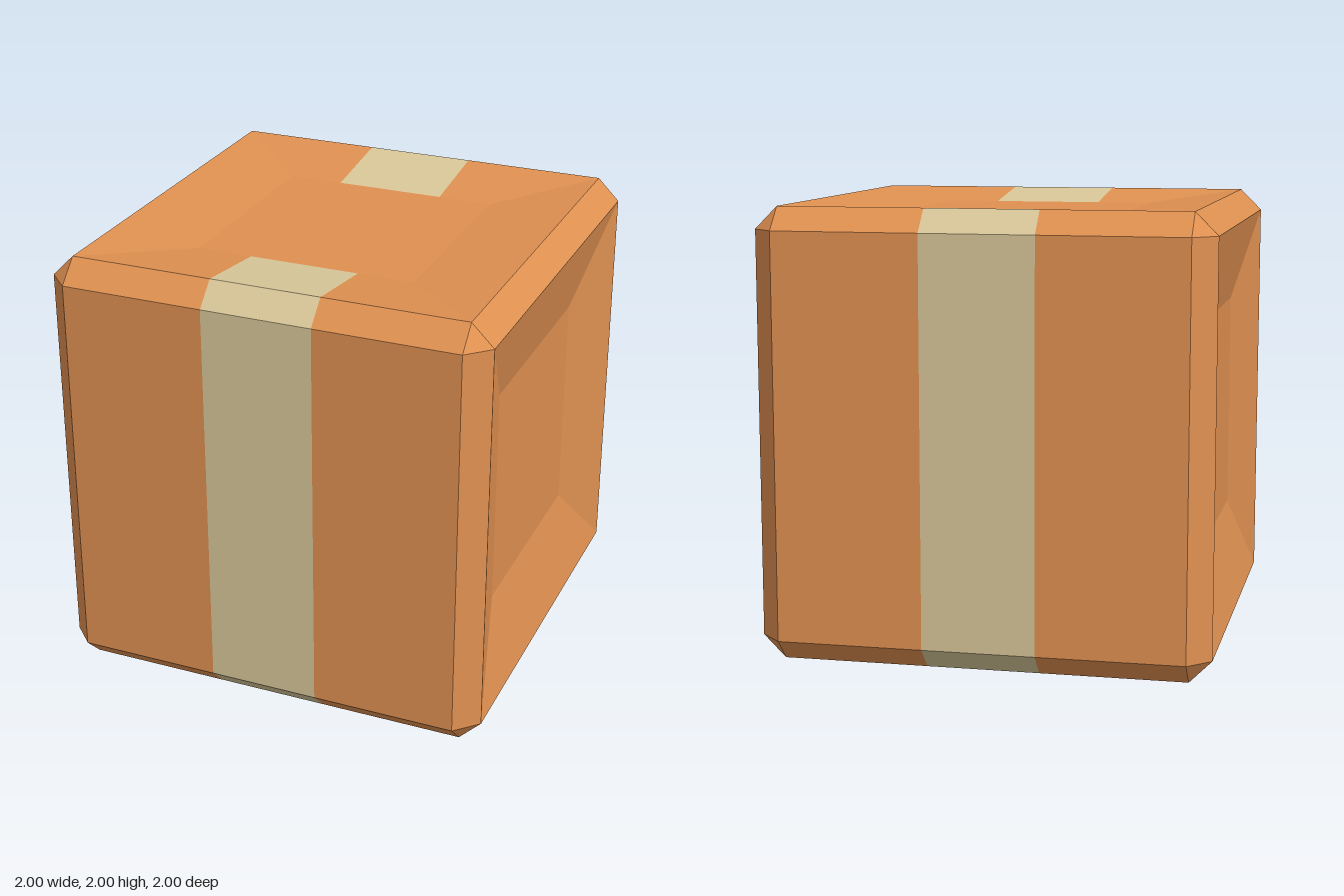
import * as THREE from 'three';

// Half sizes: outer face, chamfer start, recess floor edge, tape half width
const O = 1, C = 0.9, R = 0.5, T = 0.25;
const TOP = 0.95;  // height of the shallow recess floor in top and bottom
const SIDE = 0.9;  // x of the deeper recess floor in the two sides

// Strips running front face -> chamfer -> recess slope, between x0 and x1
const wrap = (x0, x1, xEnd) => [
  [[x0, 0, O], [x1, 0, O], [x1, C, O], [x0, C, O]],
  [[x0, C, O], [x1, C, O], [x1, O, C], [x0, O, C]],
  [[x0, O, C], [x1, O, C], [xEnd, TOP, R], [x0, TOP, R]],
];

// One eighth of the box surface; mirroring completes it
const parts = {
  boxShell: [
    ...wrap(T, C, R),
    [[C, 0, O], [C, C, O], [O, C, C], [O, 0, C]],     // upright chamfer
    [[C, O, 0], [C, O, C], [O, C, C], [O, C, 0]],     // upper side chamfer
    [[C, C, O], [O, C, C], [C, O, C]],                // corner
  ],
  topAndBottomRecess: [
    [[C, O, C], [C, O, 0], [R, TOP, 0], [R, TOP, R]],
    [[0, TOP, 0], [R, TOP, 0], [R, TOP, R], [0, TOP, R]],
  ],
  sideRecess: [
    [[O, C, 0], [O, C, C], [SIDE, R, R], [SIDE, R, 0]],
    [[O, 0, C], [O, C, C], [SIDE, R, R], [SIDE, 0, R]],
    [[SIDE, 0, 0], [SIDE, R, 0], [SIDE, R, R], [SIDE, 0, R]],
  ],
  tape: wrap(0, T, T),
};

// Mirror flat faces into all eight octants, each turned to face outward
function mirroredFaces(faces) {
  const pos = [];
  for (const sx of [1, -1]) for (const sy of [1, -1]) for (const sz of [1, -1]) {
    for (const face of faces) {
      const p = face.map(([x, y, z]) => new THREE.Vector3(x * sx, y * sy, z * sz));
      const normal = p[1].clone().sub(p[0]).cross(p[2].clone().sub(p[0]));
      if (normal.dot(p[0]) < 0) p.reverse();
      for (let i = 1; i < p.length - 1; i++) {
        for (const v of [p[0], p[i], p[i + 1]]) pos.push(v.x, v.y, v.z);
      }
    }
  }
  const geo = new THREE.BufferGeometry();
  geo.setAttribute('position', new THREE.Float32BufferAttribute(pos, 3));
  geo.computeVertexNormals();
  return geo;
}

export function createModel() {
  const group = new THREE.Group();
  group.name = 'cardboardBox';
  const cardboard = new THREE.MeshStandardMaterial({ color: 0xe09151, flatShading: true });
  const tape = new THREE.MeshStandardMaterial({ color: 0xd9c799, flatShading: true });

  for (const [name, faces] of Object.entries(parts)) {
    const mesh = new THREE.Mesh(mirroredFaces(faces), name === 'tape' ? tape : cardboard);
    mesh.name = name;
    mesh.position.y = O;
    group.add(mesh);
  }
  return group;
}
